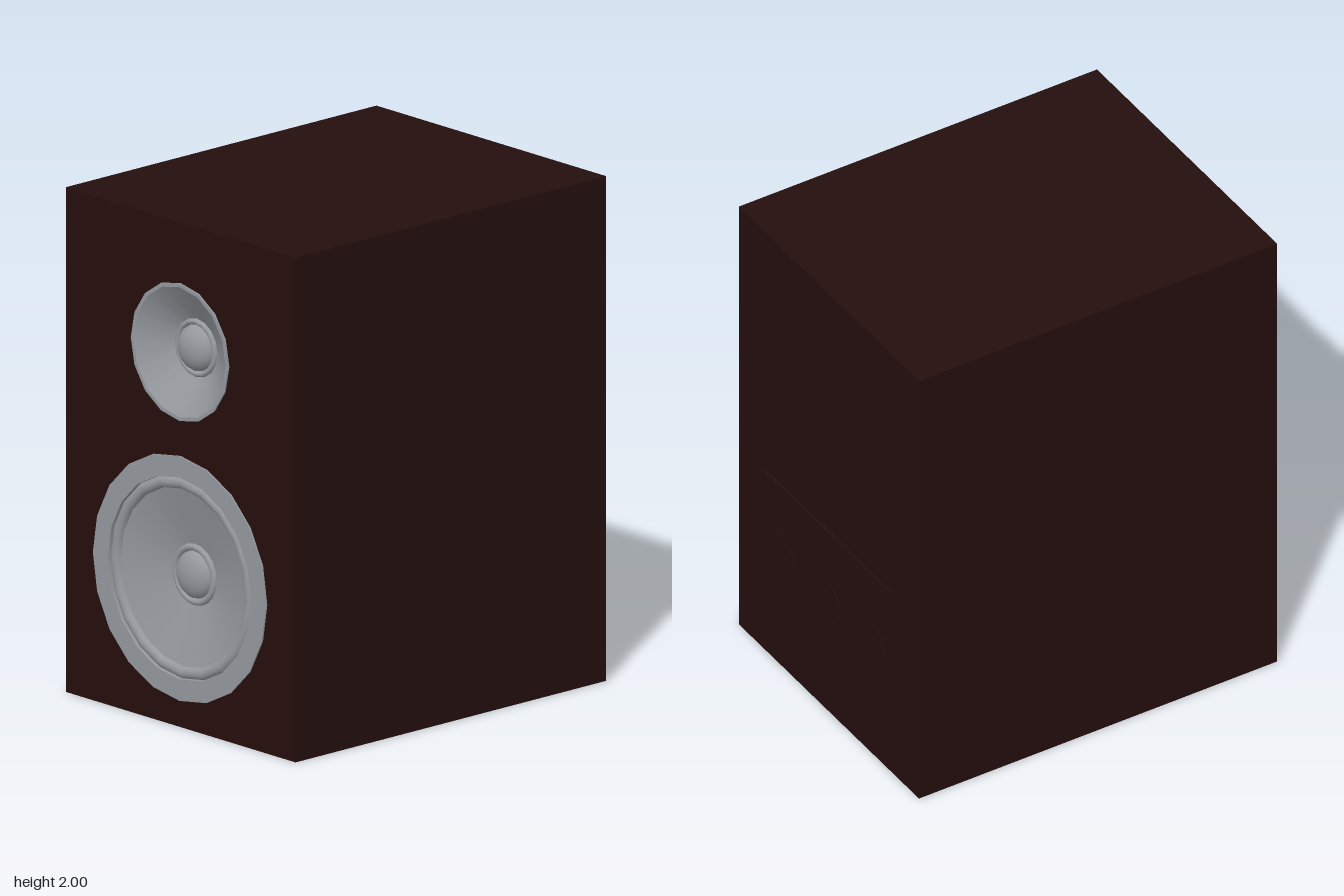
import * as THREE from 'three';

export function createModel() {
  const model = new THREE.Group();
  const wood = new THREE.MeshStandardMaterial({ color: 0x240e0d });
  wood.name = 'darkWood';
  const grey = new THREE.MeshStandardMaterial({ color: 0x95999e });
  grey.name = 'driverGrey';

  const add = (parent, name, geometry, material, x = 0, y = 0, z = 0) => {
    const mesh = new THREE.Mesh(geometry, material);
    mesh.name = name;
    mesh.position.set(x, y, z);
    parent.add(mesh);
    return mesh;
  };

  const FRONT = 0.805, SPLIT = 0.6, BACK = -0.803, HALF = 0.643;
  const WOOFER_Y = 0.59, TWEETER_Y = 1.487;

  // Cabinet: solid rear body and a thick baffle with two driver openings
  add(model, 'cabinetBody', new THREE.BoxGeometry(HALF * 2, 2, SPLIT - BACK), wood, 0, 1, (SPLIT + BACK) / 2);

  const opening = (y, r, sides) => {
    const pts = [];
    for (let i = 0; i < sides; i++) {
      const a = (i / sides) * Math.PI * 2;
      pts.push(new THREE.Vector2(r * Math.sin(a), y + r * Math.cos(a)));
    }
    return new THREE.Path(pts);
  };
  const baffle = new THREE.Shape([
    new THREE.Vector2(-HALF, 0), new THREE.Vector2(HALF, 0),
    new THREE.Vector2(HALF, 2), new THREE.Vector2(-HALF, 2),
  ]);
  baffle.holes.push(opening(WOOFER_Y, 0.42, 20), opening(TWEETER_Y, 0.262, 16));
  add(model, 'frontBaffle', new THREE.ExtrudeGeometry(baffle, { depth: FRONT - SPLIT, bevelEnabled: false }), wood, 0, 0, SPLIT);

  // Turned driver parts: [radius, height] from the rim inward, facing +z
  const turned = (points, sides) =>
    new THREE.LatheGeometry(points.map(([r, h]) => new THREE.Vector2(r, h)), sides).rotateX(Math.PI / 2);

  // Rounded roll between two radii
  const roll = (outer, inner, base, height) => {
    const pts = [];
    for (let i = 0; i <= 6; i++) {
      const a = (i / 6) * Math.PI;
      pts.push([(outer + inner) / 2 + ((outer - inner) / 2) * Math.cos(a), base + height * Math.sin(a)]);
    }
    return pts;
  };

  // Dome closing at the axis
  const dome = (r, base, height) => {
    const pts = [];
    for (let i = 0; i <= 6; i++) {
      const a = (i / 6) * Math.PI / 2;
      pts.push([i === 6 ? 0 : r * Math.cos(a), base + height * Math.sin(a)]);
    }
    return pts;
  };

  const driver = (name, y, sides, parts) => {
    const group = new THREE.Group();
    group.name = name;
    group.position.set(0, y, FRONT);
    for (const [part, points] of Object.entries(parts)) add(group, part, turned(points, sides), grey);
    model.add(group);
  };

  driver('woofer', WOOFER_Y, 20, {
    rimEdge: [[0.485, 0], [0.485, 0.006]],
    rim: [[0.485, 0.006], [0.4, 0.006]],
    rimStep: [[0.4, 0.006], [0.4, -0.015]],
    surround: roll(0.4, 0.352, -0.015, 0.02),
    cone: [[0.352, -0.015], [0.12, -0.075]],
    capRing: roll(0.122, 0.094, -0.075, 0.014),
    dustCap: dome(0.094, -0.075, 0.045),
  });

  driver('tweeter', TWEETER_Y, 16, {
    rimEdge: [[0.273, 0], [0.273, 0.006]],
    rim: [[0.273, 0.006], [0.258, 0.006]],
    cone: [[0.258, 0.006], [0.114, -0.085]],
    capRing: roll(0.116, 0.092, -0.085, 0.014),
    dome: dome(0.092, -0.085, 0.055),
  });

  // Rear terminal plate with three round sockets
  add(model, 'terminalPlate', new THREE.BoxGeometry(0.91, 0.67, 0.008), wood, 0, 0.53, BACK - 0.004);
  for (const x of [-0.32, 0, 0.32]) {
    const disc = new THREE.CylinderGeometry(0.1, 0.1, 0.006, 20).rotateX(Math.PI / 2);
    add(model, 'terminal', disc, wood, x, 0.53, BACK - 0.009);
  }

  return model;
}
